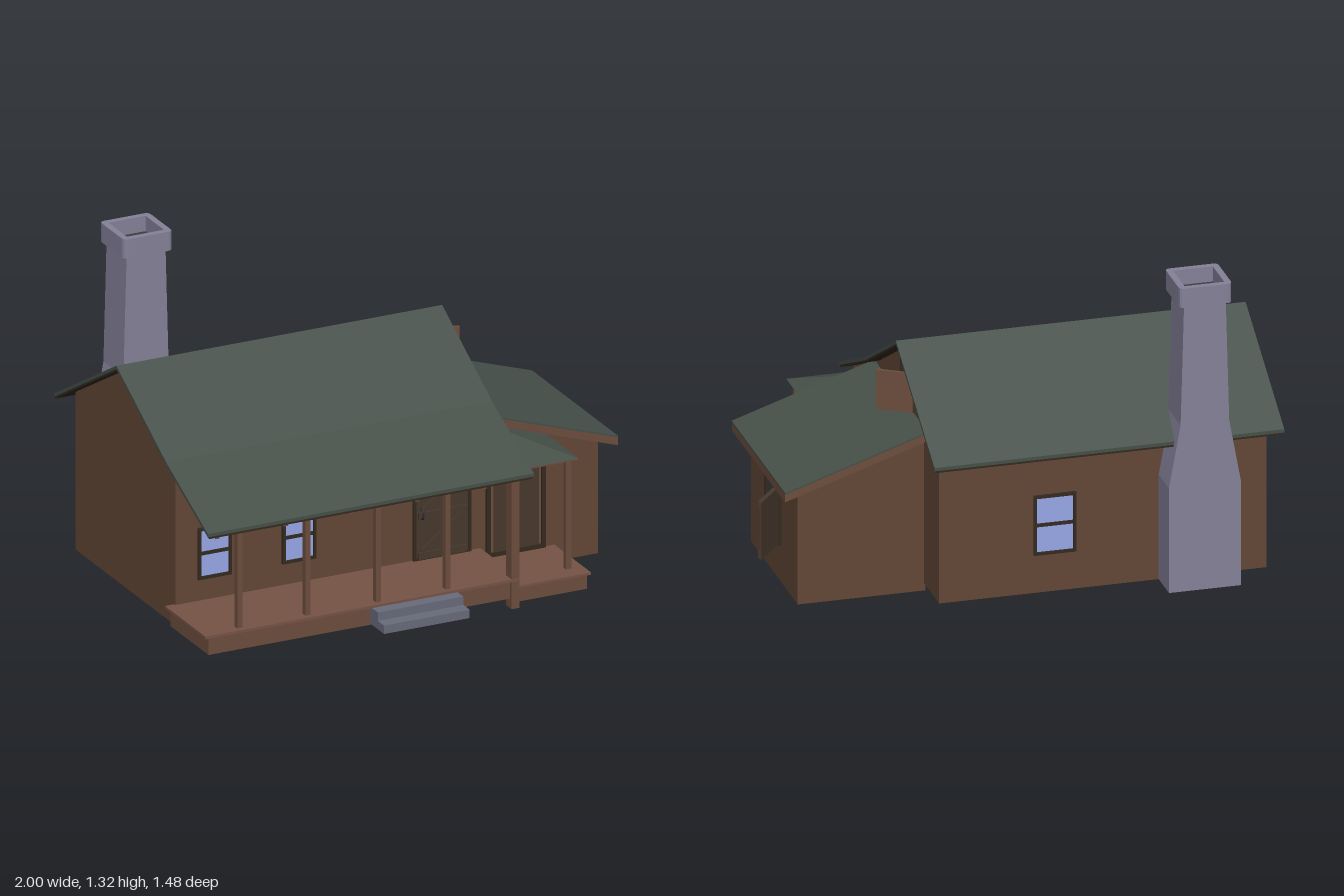
import * as THREE from 'three';

const mat = (color) => new THREE.MeshStandardMaterial({ color, flatShading: true, side: THREE.DoubleSide });
const WALL = mat(0x634737), TRIM = mat(0x6d4e3d), DARK = mat(0x46382d), FRAME = mat(0x34291f),
  ROOF = mat(0x465049), STONE = mat(0x85829a), STEP = mat(0x686c7b), DECK = mat(0x775346),
  GLASS = mat(0x98a8e8), VOID = mat(0x3c3e40), METAL = mat(0x2c2c30);

export function createModel() {
  const model = new THREE.Group();

  const add = (name, geo, material, parent = model) => {
    const m = new THREE.Mesh(geo, material);
    m.name = name;
    parent.add(m);
    return m;
  };

  // Box from its limits on each axis
  const box = (name, material, x0, x1, y0, y1, z0, z1, parent = model) => {
    const m = add(name, new THREE.BoxGeometry(x1 - x0, y1 - y0, z1 - z0), material, parent);
    m.position.set((x0 + x1) / 2, (y0 + y1) / 2, (z0 + z1) / 2);
    return m;
  };

  const shape = (pts) => new THREE.Shape(pts.map(([a, b]) => new THREE.Vector2(a, b)));
  const extrude = (pts, depth) => new THREE.ExtrudeGeometry(shape(pts), { depth, bevelEnabled: false });

  // Profile of [z, y] points swept along x, and of [x, y] points swept along z
  const sweepX = (name, material, pts, x0, x1) => {
    const geo = extrude(pts.map(([z, y]) => [-z, y]), x1 - x0).rotateY(Math.PI / 2);
    return add(name, geo.translate(x0, 0, 0), material);
  };
  const sweepZ = (name, material, pts, z0, z1) =>
    add(name, extrude(pts, z1 - z0).translate(0, 0, z0), material);

  // Slab lying between a line of points and the same line lowered
  const slab = (line, top, bottom) => [
    ...line.map(([a, b]) => [a, b - top]),
    ...line.map(([a, b]) => [a, b - bottom]).reverse(),
  ];

  const place = (name, x, y, z, turn = 0) => {
    const g = new THREE.Group();
    g.name = name;
    g.position.set(x, y, z);
    g.rotation.y = turn;
    model.add(g);
    return g;
  };

  // Four frame bars around an opening whose lower left corner is the origin
  const frame = (g, w, h, t, d) => {
    box('frameLeft', FRAME, 0, t, 0, h, 0, d, g);
    box('frameRight', FRAME, w - t, w, 0, h, 0, d, g);
    box('frameTop', FRAME, t, w - t, h - t, h, 0, d, g);
    box('frameBottom', FRAME, t, w - t, 0, t, 0, d, g);
  };

  const sashWindow = (x, y, z, w, h, turn) => {
    const g = place('sashWindow', x, y, z, turn);
    frame(g, w, h, 0.012, 0.012);
    box('pane', GLASS, 0.012, w - 0.012, 0.012, h - 0.012, 0, 0.004, g);
    box('sashBar', FRAME, 0.012, w - 0.012, h / 2 - 0.007, h / 2 + 0.007, 0, 0.009, g);
  };

  // Plank panel hinged at the origin, with rails and diagonal braces
  const bracedPanel = (name, x, y, z, w, h, turn, bays, material = DARK) => {
    const g = place(name, x, y, z, turn);
    box('planks', material, 0, w, 0, h, -0.006, 0.004, g);
    const rail = 0.028, step = (h - rail) / bays;
    for (let i = 0; i <= bays; i++) {
      box('rail', material, 0.008, w - 0.008, i * step, i * step + rail, 0.004, 0.013, g);
      if (i === bays) break;
      const dx = w - 0.04, dy = step - rail;
      const brace = add('brace', new THREE.BoxGeometry(Math.hypot(dx, dy) - 0.01, 0.02, 0.008), material, g);
      brace.position.set(w / 2, i * step + (rail + step) / 2, 0.008);
      brace.rotation.z = Math.atan2(dy, dx);
    }
    return g;
  };

  // Main house
  sweepX('mainWalls', WALL,
    [[0.29, 0.04], [0.29, 0.705], [-0.145, 0.95], [-0.58, 0.7], [-0.58, 0.04]], -0.96, 0.36);
  const roofLine = [[0.655, 0.562], [0.29, 0.73], [-0.145, 0.975], [-0.69, 0.66]];
  sweepX('mainRoof', ROOF, slab(roofLine, 0, 0.014), -1, 0.41);
  sweepX('mainRoofBoards', FRAME, slab(roofLine, 0.014, 0.022), -0.995, 0.405);

  // Main porch
  box('porchBase', TRIM, -0.98, 0.345, 0.04, 0.114, 0.29, 0.62);
  box('porchDeck', DECK, -1, 0.36, 0.114, 0.125, 0.28, 0.635);
  for (const x of [-0.84, -0.545, -0.24, 0.06])
    box('porchPost', TRIM, x - 0.011, x + 0.011, 0.125, 0.53, 0.587, 0.612);
  box('cornerPost', TRIM, 0.325, 0.36, 0, 0.53, 0.585, 0.632);
  box('porchBeam', TRIM, -0.96, 0.36, 0.528, 0.55, 0.588, 0.615);
  for (const x of [-0.955, -0.66, -0.37, -0.09, 0.2, 0.34])
    sweepX('rafter', TRIM, slab([[0.63, 0.573], [0.29, 0.73]], 0.022, 0.05), x, x + 0.018);
  box('lowerStep', STEP, -0.28, 0.09, 0.045, 0.08, 0.62, 0.74);
  box('upperStep', STEP, -0.28, 0.09, 0.08, 0.115, 0.62, 0.685);

  // Main openings
  sashWindow(-0.865, 0.215, 0.29, 0.145, 0.215, 0);
  sashWindow(-0.5, 0.215, 0.29, 0.145, 0.215, 0);
  sashWindow(-0.02, 0.2, -0.58, 0.17, 0.25, Math.PI);
  frame(place('mainDoorFrame', 0.065, 0.125, 0.29), 0.25, 0.38, 0.012, 0.012);
  bracedPanel('mainDoor', 0.077, 0.13, 0.294, 0.226, 0.362, 0, 2);
  const handle = new THREE.CatmullRomCurve3([[0.293, 0.005], [0.318, 0.012], [0.318, 0.043], [0.293, 0.05]]
    .map(([z, y]) => new THREE.Vector3(0.098, 0.293 + y, z)));
  add('doorHandle', new THREE.TubeGeometry(handle, 12, 0.004, 6), METAL);

  // Gable hatch with its open shutter
  const hatch = place('gableHatch', 0.36, 0.7, -0.062, Math.PI / 2);
  frame(hatch, 0.168, 0.17, 0.01, 0.01);
  box('hatchOpening', VOID, 0.01, 0.158, 0.01, 0.16, 0, 0.003, hatch);
  const gableShutter = place('gableShutter', 0.365, 0.703, -0.232, -0.57);
  box('shutterPlanks', TRIM, 0, 0.148, 0, 0.165, -0.006, 0.006, gableShutter);

  // Side wing
  sweepZ('wingWalls', WALL, [[0.355, 0.01], [0.87, 0.01], [0.87, 0.5], [0.355, 0.67]], -0.37, 0.285);
  const wingLine = [[0.36, 0.697], [0.935, 0.506]];
  sweepZ('wingRoof', ROOF, slab(wingLine, 0, 0.007), -0.42, 0.332);
  sweepZ('wingRoofBoards', TRIM, slab(wingLine, 0.007, 0.04), -0.418, 0.33);
  const wingWindow = place('wingWindow', 0.87, 0.165, 0.055, Math.PI / 2);
  frame(wingWindow, 0.2, 0.26, 0.014, 0.012);
  box('windowOpening', VOID, 0.014, 0.186, 0.014, 0.246, 0, 0.003, wingWindow);
  bracedPanel('wingShutter', 0.878, 0.173, -0.13, 0.18, 0.24, 0.884, 1);

  // Side porch
  box('sidePorchBase', TRIM, 0.37, 0.67, 0.01, 0.07, 0.28, 0.595);
  box('sidePorchDeck', DECK, 0.36, 0.682, 0.07, 0.08, 0.28, 0.605);
  box('sidePorchPost', TRIM, 0.608, 0.632, 0.08, 0.535, 0.512, 0.536);
  box('sidePorchFrontBeam', TRIM, 0.36, 0.632, 0.53, 0.545, 0.512, 0.536);
  box('sidePorchSideBeam', TRIM, 0.608, 0.632, 0.53, 0.545, 0.28, 0.512);
  box('sidePorchCeiling', TRIM, 0.36, 0.642, 0.544, 0.551, 0.28, 0.57);

  // Hip roof over the side porch: two slopes meeting on a diagonal
  const hip = new THREE.BufferGeometry();
  hip.setAttribute('position', new THREE.Float32BufferAttribute([
    0.36, 0.551, 0.573, 0.646, 0.551, 0.573, 0.36, 0.655, 0.285,
    0.646, 0.551, 0.573, 0.646, 0.551, 0.285, 0.36, 0.655, 0.285], 3));
  hip.computeVertexNormals();
  add('sidePorchRoof', hip, ROOF);

  // Side door
  frame(place('sideDoorFrame', 0.385, 0.08, 0.285), 0.255, 0.44, 0.018, 0.012);
  box('sideDoorSurround', TRIM, 0.403, 0.622, 0.08, 0.502, 0.285, 0.291);
  box('sideDoor', DARK, 0.415, 0.61, 0.08, 0.46, 0.285, 0.295);

  // Chimney: wide hearth, sloping shoulders, tapering stack
  const half = [[0.145, 0.04], [0.145, 0.48], [0.098, 0.74], [0.084, 1.25]];
  const stack = [...half, ...half.map(([x, y]) => [-x, y]).reverse()];
  sweepZ('chimneyStack', STONE, stack.map(([x, y]) => [x - 0.67, y]), -0.725, -0.55);

  // Rounded square collar with a flue hole
  const square = (Type, s, r) => new Type()
    .moveTo(-s + r, -s).lineTo(s - r, -s).quadraticCurveTo(s, -s, s, -s + r)
    .lineTo(s, s - r).quadraticCurveTo(s, s, s - r, s)
    .lineTo(-s + r, s).quadraticCurveTo(-s, s, -s, s - r)
    .lineTo(-s, -s + r).quadraticCurveTo(-s, -s, -s + r, -s);
  const collar = square(THREE.Shape, 0.106, 0.02);
  collar.holes.push(square(THREE.Path, 0.08, 0.004));
  const cap = new THREE.ExtrudeGeometry(collar, { depth: 0.08, bevelEnabled: false, curveSegments: 3 });
  add('chimneyCap', cap.rotateX(-Math.PI / 2).translate(-0.67, 1.24, -0.636), STONE);
  box('flue', VOID, -0.75, -0.59, 1.245, 1.256, -0.716, -0.556);

  return model;
}
